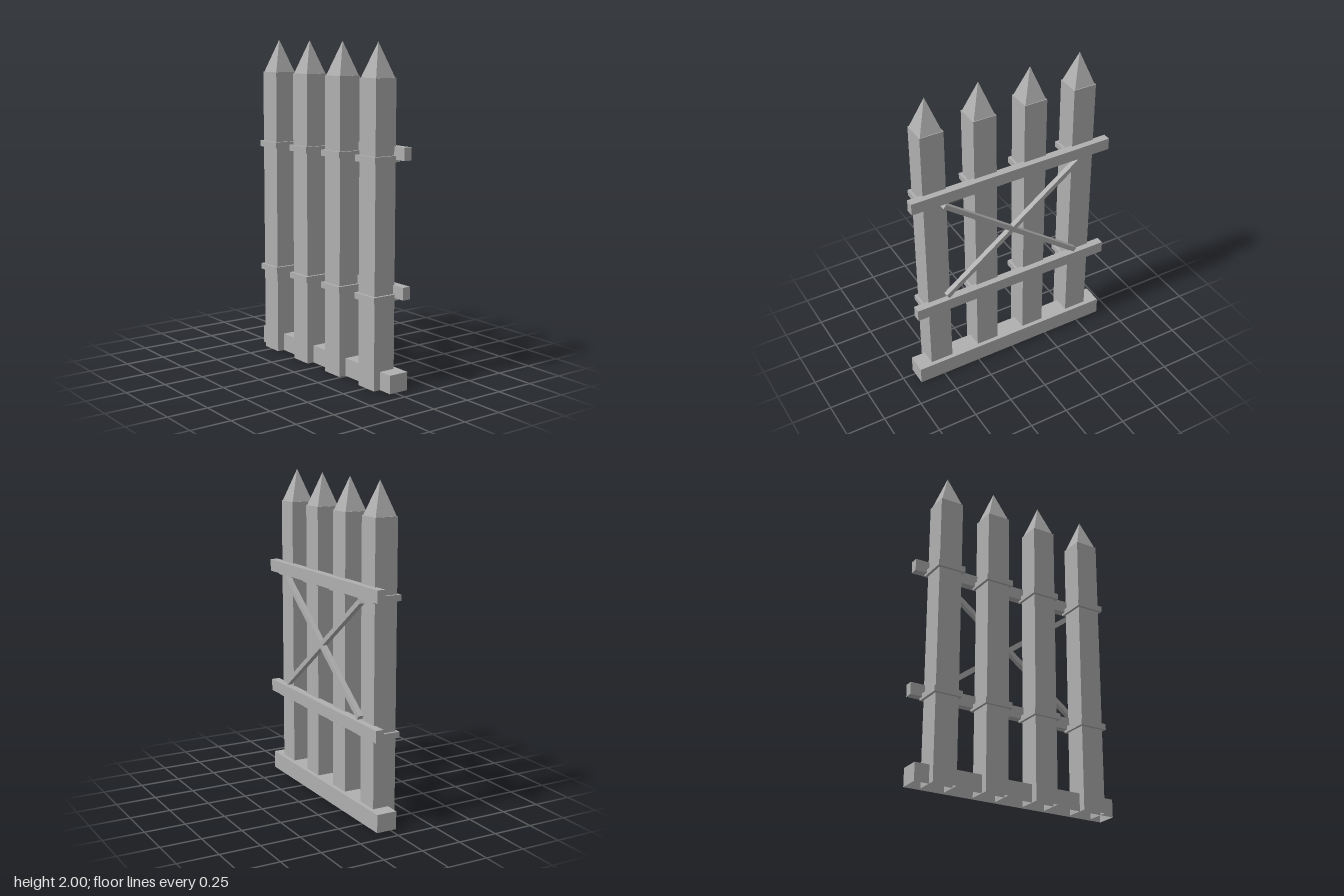
import * as THREE from 'three';

export function createModel() {
  const model = new THREE.Group();
  const grey = new THREE.MeshStandardMaterial({ color: 0xb0b0b0, flatShading: true, side: THREE.DoubleSide });
  grey.name = 'grey wood';

  const add = (name, geometry, x, y, z) => {
    const mesh = new THREE.Mesh(geometry, grey);
    mesh.name = name;
    mesh.position.set(x, y, z);
    model.add(mesh);
    return mesh;
  };

  // Box without its bottom face, for parts resting on the ground
  const openBox = (w, h, d) => {
    const g = new THREE.BoxGeometry(w, h, d);
    const index = Array.from(g.index.array);
    index.splice(18, 6);
    g.setIndex(index);
    g.clearGroups();
    return g;
  };

  const postZ = 0.011;
  const length = 1.33;

  // Pointed posts with a tie at each rail
  for (const x of [-0.5, -0.167, 0.167, 0.5]) {
    add('post', openBox(0.148, 1.8, 0.146), x, 0.9, postZ);
    const tip = new THREE.ConeGeometry(0.137 / Math.SQRT2, 0.2, 4, 1);
    tip.rotateY(Math.PI / 4);
    add('postTip', tip, x, 1.9, postZ);
    for (const y of [0.541, 1.344]) {
      add('tie', new THREE.BoxGeometry(0.18, 0.037, 0.181), x, y, postZ);
    }
  }

  // Rails behind the posts
  for (const y of [0.576, 1.377]) {
    add('rail', new THREE.BoxGeometry(length, 0.075, 0.051), 0, y, -0.076);
  }

  // Base beam
  add('baseBeam', openBox(length, 0.11, 0.128), 0, 0.055, -0.025);

  // Crossed braces between the rails
  for (const side of [-1, 1]) {
    const brace = add('brace', new THREE.BoxGeometry(1.14, 0.03, 0.034), 0, 0.977, side > 0 ? -0.083 : -0.08);
    brace.rotation.z = side * Math.atan(0.75);
  }

  return model;
}
